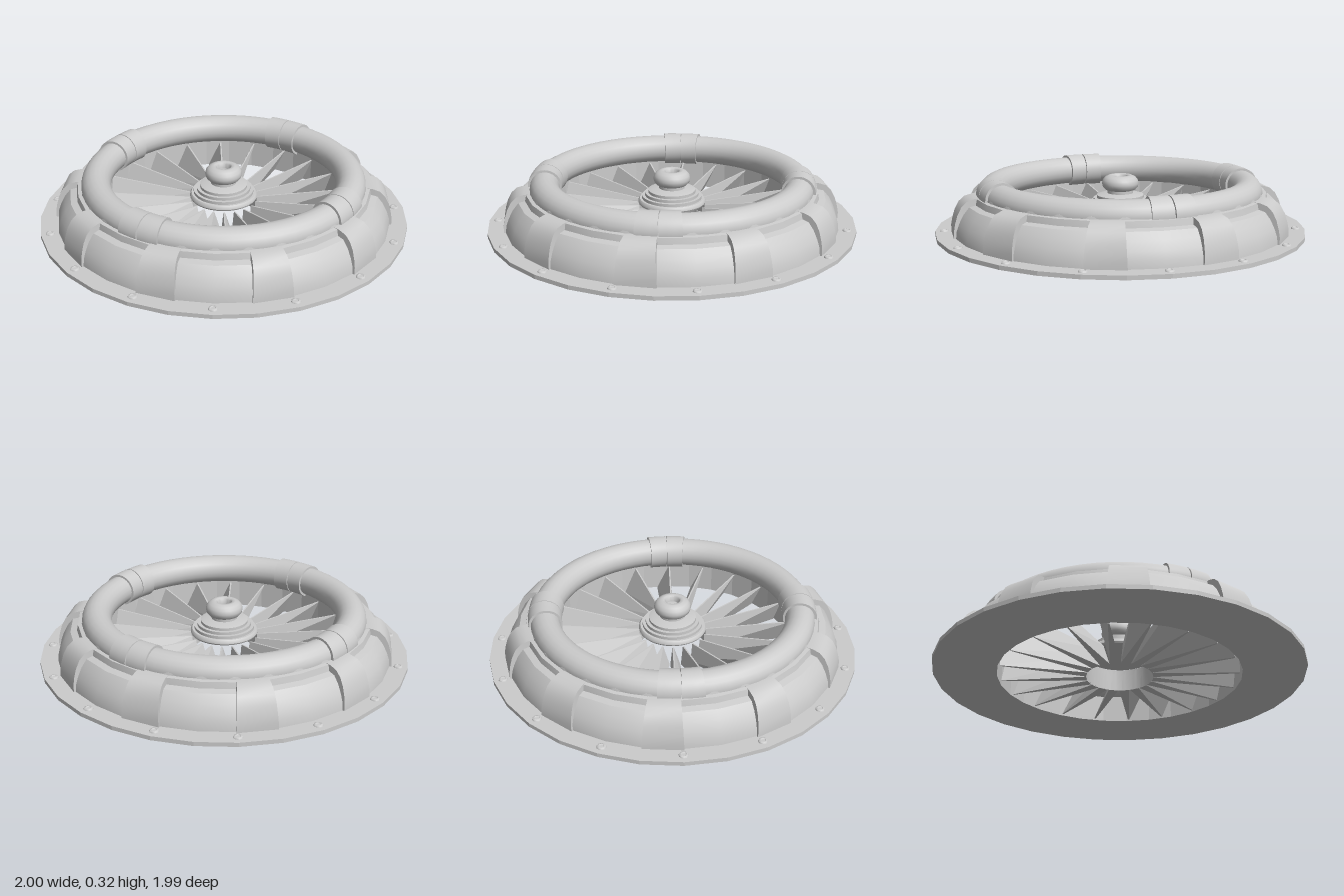
import * as THREE from 'three';
import { toCreasedNormals } from 'three/addons/utils/BufferGeometryUtils.js';

const SIDES = 30;
const STEP = (Math.PI * 2) / SIDES;
const material = new THREE.MeshStandardMaterial({ color: 0xcccccc });
const flat = new THREE.MeshStandardMaterial({ color: 0xcccccc, flatShading: true });

const points = (list) => list.map(([x, y]) => new THREE.Vector2(x, y));

function add(parent, name, geometry, mat = material) {
  const mesh = new THREE.Mesh(geometry, mat);
  mesh.name = name;
  parent.add(mesh);
  return mesh;
}

// Named child group for repeated parts
function group(parent, name) {
  const g = new THREE.Group();
  g.name = name;
  parent.add(g);
  return g;
}

// Lathe whose corners start on the +x axis
function lathe(profile, sides = SIDES, crease = 0.6) {
  const geometry = new THREE.LatheGeometry(points(profile), sides);
  geometry.rotateY(Math.PI / 2);
  return toCreasedNormals(geometry, crease);
}

// Closed (radius, height) outline swept around y between two angles, ends capped.
// flare(y) widens the sweep in proportion at each height
function sweep(shape, from, to, steps, flare = () => 1) {
  const geometry = new THREE.ExtrudeGeometry(shape, { depth: 1, steps, bevelEnabled: false, curveSegments: 24 });
  const p = geometry.attributes.position;
  for (let i = 0; i < p.count; i++) {
    const r = p.getX(i), y = p.getY(i);
    const a = (from + to) / 2 + (to - from) * (p.getZ(i) - 0.5) * flare(y);
    p.setXYZ(i, r * Math.cos(a), y, r * Math.sin(a));
  }
  return toCreasedNormals(geometry, 0.6);
}

// Blade along +x: wide underside at the root, narrowing to a steep fin at the tip
function bladeGeometry() {
  const geometry = new THREE.BoxGeometry(1, 1, 1);
  const p = geometry.attributes.position;
  for (let i = 0; i < p.count; i++) {
    const tip = p.getX(i) > 0, top = p.getY(i) > 0, side = Math.sign(p.getZ(i));
    const y = top ? (tip ? 0.15 : 0.115) : 0.004;
    const middle = top ? (tip ? 0.036 : 0.012) : (tip ? -0.034 : 0);
    const half = top || tip ? 0.004 : 0.027;
    p.setXYZ(i, tip ? 0.645 : 0.18, y, middle + side * half);
  }
  return geometry.toNonIndexed();
}

export function createModel() {
  const model = new THREE.Group();
  model.name = 'ventFan';

  // Thin mounting flange
  add(model, 'flange', lathe([[0.66, 0], [1, 0], [1, 0.022], [0.66, 0.022], [0.66, 0]], SIDES, 0.1));

  // Domed housing with a collar under the rim, and a faceted inner wall
  add(model, 'housing', lathe([
    [0.905, 0.02], [0.9, 0.06], [0.885, 0.1], [0.861, 0.145], [0.83, 0.182],
    [0.795, 0.19], [0.788, 0.222], [0.768, 0.225], [0.765, 0.237], [0.66, 0.237],
  ]));
  add(model, 'innerWall', lathe([[0.66, 0.237], [0.66, 0.02]], SIDES, 0.1), flat);

  // Raised ribs on every third side of the housing, slightly wider at the foot
  const ribShape = new THREE.Shape(points([
    [0.76, 0.02], [0.915, 0.02], [0.914, 0.06], [0.906, 0.1], [0.892, 0.145],
    [0.87, 0.185], [0.84, 0.212], [0.8, 0.224], [0.76, 0.226],
  ]));
  const ribs = group(model, 'ribs');
  const ribGeometry = sweep(ribShape, 0, STEP, 1, (y) => 1.08 - 0.5 * y);
  for (let i = 0; i < 10; i++) add(ribs, 'rib', ribGeometry).rotation.y = -i * 3 * STEP;

  // Round top rim
  const rim = new THREE.TorusGeometry(0.687, 0.079, 20, 60);
  rim.rotateX(Math.PI / 2);
  add(model, 'rim', rim).position.y = 0.227;

  // Four split clamps around the rim
  const clampShape = new THREE.Shape();
  clampShape.absarc(0.687, 0.227, 0.091, 0, Math.PI * 2);
  const clamps = group(model, 'clamps');
  const halves = [sweep(clampShape, 0.004, 0.15, 3), sweep(clampShape, -0.15, -0.004, 3)];
  for (let i = 0; i < 4; i++) {
    for (const half of halves) add(clamps, 'clampHalf', half).rotation.y = i * Math.PI / 2;
  }

  // Stepped hub cap
  add(model, 'hubCap', lathe([
    [0, 0.122], [0.18, 0.122], [0.184, 0.13], [0.182, 0.142], [0.175, 0.15],
    [0.163, 0.15], [0.163, 0.166], [0.146, 0.166], [0.146, 0.182], [0.128, 0.182],
    [0.128, 0.197], [0.11, 0.202], [0.07, 0.207], [0.07, 0.235],
  ], 32));

  // Hub bore, seen from underneath
  add(model, 'hubBore', lathe([[0.181, 0.122], [0.181, 0]], 32));

  // Rounded knob with a recess in its top
  add(model, 'knob', lathe([
    [0.06, 0.22], [0.082, 0.227], [0.095, 0.241], [0.1, 0.26], [0.095, 0.28],
    [0.082, 0.295], [0.062, 0.304], [0.046, 0.304], [0.038, 0.297], [0.035, 0.27], [0, 0.27],
  ], 32, 0.8));

  // Fan blades
  const blades = group(model, 'blades');
  const blade = bladeGeometry();
  for (let i = 0; i < 20; i++) {
    add(blades, 'blade', blade, flat).rotation.y = -(i / 20) * Math.PI * 2 + 0.03;
  }

  // Bolts on the flange
  const bolts = group(model, 'bolts');
  const bolt = lathe([[0.025, 0.02], [0.022, 0.028], [0.014, 0.03], [0.01, 0.025], [0, 0.025]], 10, 1);
  for (let i = 0; i < 15; i++) {
    const a = Math.PI + (i / 15) * Math.PI * 2;
    add(bolts, 'bolt', bolt).position.set(0.95 * Math.cos(a), 0, 0.95 * Math.sin(a));
  }

  return model;
}
